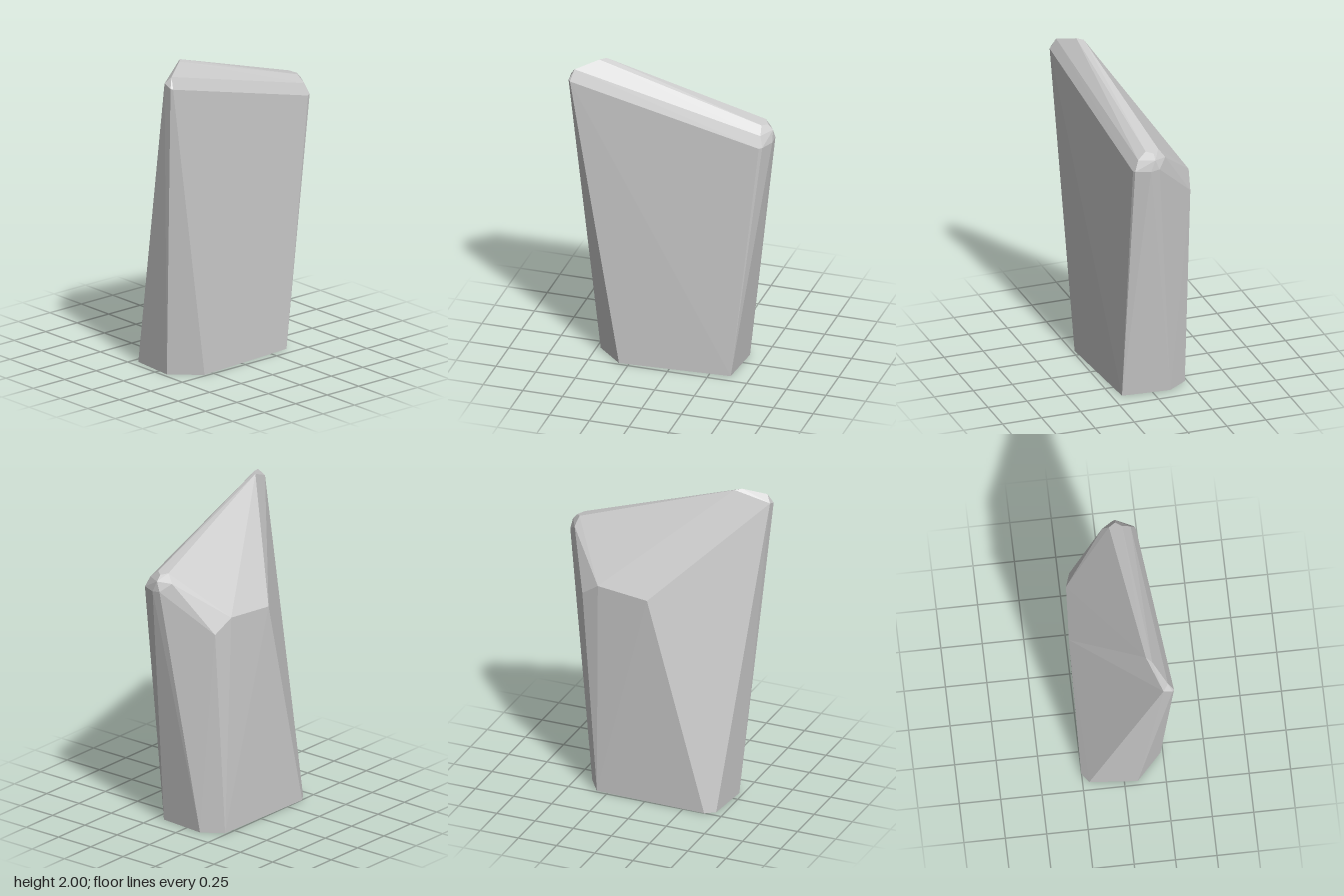
import * as THREE from 'three';
import { ConvexGeometry } from 'three/addons/geometries/ConvexGeometry.js';

export function createModel() {
  const group = new THREE.Group();
  group.name = 'rock';

  // Seven-sided footprint on the ground
  const base = [
    [-0.31, 0, 0.235], [0.38, 0, 0.19], [0.405, 0, -0.11], [0.32, 0, -0.235],
    [-0.39, 0, -0.252], [-0.45, 0, -0.21], [-0.475, 0, 0.08],
  ];
  // Worn high corner
  const peak = [
    [-0.603, 1.885, 0.285], [-0.615, 1.89, 0.275], [-0.615, 1.91, 0.22],
    [-0.585, 1.953, 0.25], [-0.455, 2, 0.17], [-0.42, 2, 0.135],
  ];
  // Rounded lower shoulder
  const shoulder = [
    [0.555, 1.565, 0.185], [0.575, 1.57, 0.178], [0.61, 1.57, 0.09], [0.612, 1.58, 0.035],
    [0.605, 1.64, 0.06], [0.56, 1.63, -0.02], [0.555, 1.635, 0.152],
    [0.545, 1.68, 0.1], [0.545, 1.685, 0.02], [0.575, 1.673, 0.06],
  ];
  // Back rim where the sloping top meets the rear wall
  const backRim = [[-0.03, 1.37, -0.286], [0.3, 1.395, -0.267], [0.415, 1.31, -0.235]];

  const points = [...base, ...peak, ...shoulder, ...backRim]
    .map((p) => new THREE.Vector3(...p));
  const stone = new THREE.Mesh(
    new ConvexGeometry(points),
    new THREE.MeshStandardMaterial({ color: 0xcccccc, flatShading: true }),
  );
  stone.name = 'stonePillar';
  group.add(stone);
  return group;
}
